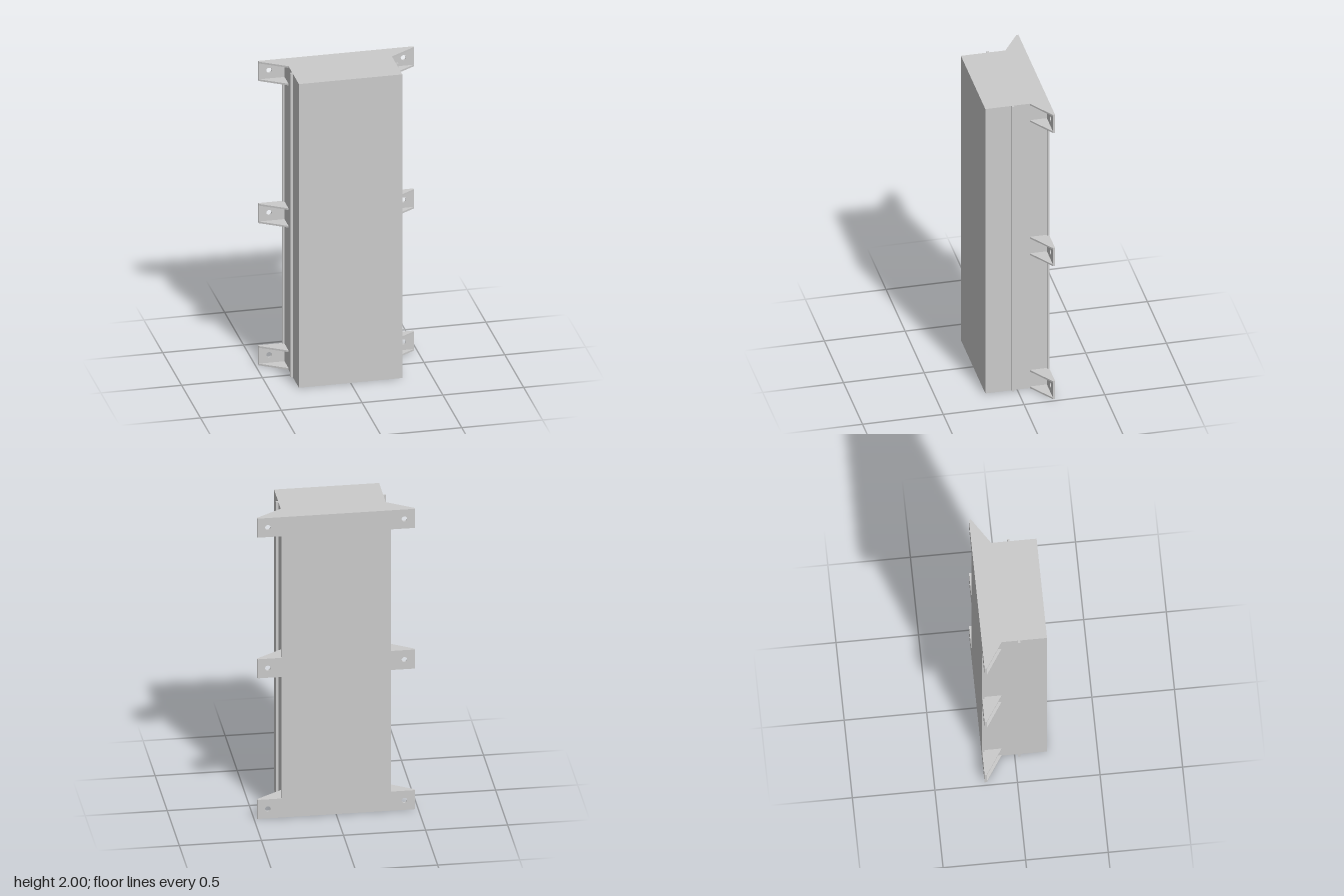
import * as THREE from 'three';

const H = 2, BODY_X = 0.32, PLATE_X = 0.333, TAB_X = 0.48;
const BACK = -0.197, FRONT = 0.197, PLATE_T = 0.013;
const TAB_H = 0.127, GUSSET_T = 0.011;
const TABS = [0, (H - TAB_H) / 2, H - TAB_H]; // lower edge of each tab

export function createModel() {
  const model = new THREE.Group();
  const material = new THREE.MeshStandardMaterial({ color: 0xcccccc, flatShading: true });
  const add = (name, geometry, x = 0, y = 0, z = 0) => {
    const mesh = new THREE.Mesh(geometry, material);
    mesh.name = name;
    mesh.position.set(x, y, z);
    model.add(mesh);
    return mesh;
  };

  // Main box
  const depth = FRONT - BACK - 0.002;
  add('body', new THREE.BoxGeometry(BODY_X * 2, H, depth), 0, H / 2, FRONT - depth / 2);

  // Back plate with mounting tabs, outlined up the left edge and down the right
  const right = [];
  for (const y of TABS) {
    right.push([PLATE_X, y], [TAB_X, y], [TAB_X, y + TAB_H], [PLATE_X, y + TAB_H]);
  }
  const left = right.map(([x, y]) => [-x, y]).reverse();
  const outline = new THREE.Shape([...right, ...left].map(([x, y]) => new THREE.Vector2(x, y)));
  for (const y of TABS) {
    for (const side of [-1, 1]) {
      const hole = new THREE.Path();
      hole.absarc(side * 0.416, y + TAB_H / 2, 0.017, 0, Math.PI * 2, true);
      outline.holes.push(hole);
    }
  }
  add('backPlate', new THREE.ExtrudeGeometry(outline, {
    depth: PLATE_T, bevelEnabled: false, curveSegments: 16,
  }), 0, 0, BACK);

  for (const side of [-1, 1]) {
    const label = side > 0 ? 'left' : 'right';

    // Thin rail running up the side
    add(label + 'Rail', new THREE.BoxGeometry(0.025, H, 0.014),
      side * (0.335 - 0.0125), H / 2, 0.027);

    // Sloped gussets at the top and bottom of every tab
    const profile = new THREE.Shape([
      [0.31, BACK], [TAB_X, BACK], [TAB_X, BACK + PLATE_T], [BODY_X, -0.078], [0.31, -0.078],
    ].map(([x, z]) => new THREE.Vector2(side * x, -z)));
    const gusset = new THREE.ExtrudeGeometry(profile, { depth: GUSSET_T, bevelEnabled: false });
    gusset.rotateX(-Math.PI / 2);
    for (const y of TABS) {
      add(label + 'LowerGusset', gusset, 0, y, 0);
      add(label + 'UpperGusset', gusset, 0, y + TAB_H - GUSSET_T, 0);
    }
  }
  return model;
}
